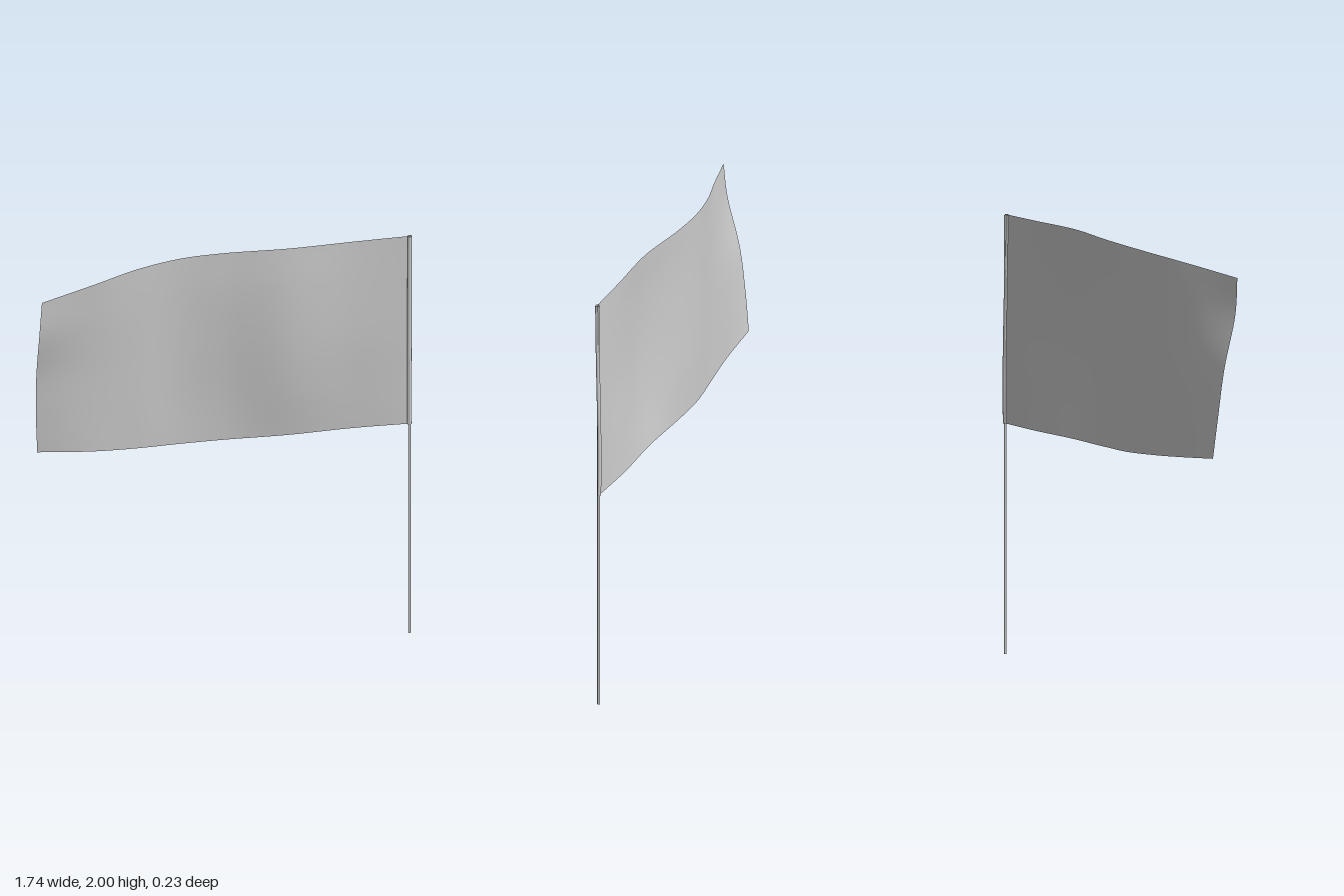
import * as THREE from 'three';

const material = new THREE.MeshStandardMaterial({ color: 0xcccccc, side: THREE.DoubleSide });

// Columns of the cloth from the free end to the sleeve
const columns = [-0.86, -0.6, -0.4, -0.2, 0, 0.3, 0.6, 0.85];
const topY = [1.91, 1.943, 1.968, 1.985, 1.993, 2, 2, 2];
const bottomY = [1.096, 1.072, 1.058, 1.05, 1.05, 1.05, 1.05, 1.05];
// Depth of the cloth along rows from bottom to top
const depths = [
  [-0.012, -0.026, -0.052, -0.08, -0.088, -0.088, -0.108, -0.109],
  [0.01, -0.022, -0.048, -0.08, -0.084, -0.062, -0.095, -0.11],
  [0.04, -0.012, -0.045, -0.076, -0.077, -0.049, -0.082, -0.106],
  [0.1, 0.015, -0.038, -0.073, -0.074, -0.052, -0.08, -0.101],
  [0.115, 0.034, -0.033, -0.073, -0.08, -0.064, -0.084, -0.098],
];
const heights = [0, 0.24, 0.5, 0.8, 1];

// Smooth sheet through the rows of points
function makeCloth() {
  const rows = depths.map((row, r) => new THREE.CatmullRomCurve3(row.map((z, c) => {
    const v = heights[r];
    const bow = c === 0 ? 0.052 * v * (1 - v) : 0;
    return new THREE.Vector3(columns[c] - bow, THREE.MathUtils.lerp(bottomY[c], topY[c], v), z);
  })));
  const nu = 56, nv = 32;
  const geometry = new THREE.PlaneGeometry(1, 1, nu, nv);
  const position = geometry.attributes.position;
  for (let i = 0; i <= nu; i++) {
    const column = new THREE.CatmullRomCurve3(rows.map((row) => row.getPoint(i / nu)));
    for (let j = 0; j <= nv; j++) {
      const p = column.getPoint(1 - j / nv);
      position.setXYZ(j * (nu + 1) + i, p.x, p.y, p.z);
    }
  }
  geometry.computeVertexNormals();
  return geometry;
}

// Open tube of cloth that follows the slight bow of the sheet's edge
function makeSleeve() {
  const geometry = new THREE.CylinderGeometry(0.011, 0.011, 0.95, 16, 16, true);
  const position = geometry.attributes.position;
  const edge = new THREE.CatmullRomCurve3(depths.map((row, r) =>
    new THREE.Vector3(0, 1.05 + 0.95 * heights[r], row[row.length - 1])));
  for (let i = 0; i < position.count; i++) {
    const v = position.getY(i) / 0.95 + 0.5;
    position.setXYZ(i, position.getX(i) + 0.858, 1.05 + 0.95 * v,
      position.getZ(i) * 0.75 + edge.getPoint(v).z);
  }
  geometry.computeVertexNormals();
  return geometry;
}

export function createModel() {
  const model = new THREE.Group();
  model.name = 'flag';
  const add = (name, geometry) => {
    const mesh = new THREE.Mesh(geometry, material);
    mesh.name = name;
    model.add(mesh);
    return mesh;
  };

  add('cloth', makeCloth());
  add('sleeve', makeSleeve());
  add('pole', new THREE.CylinderGeometry(0.006, 0.006, 1.998, 16)).position.set(0.859, 0.999, -0.106);
  return model;
}
